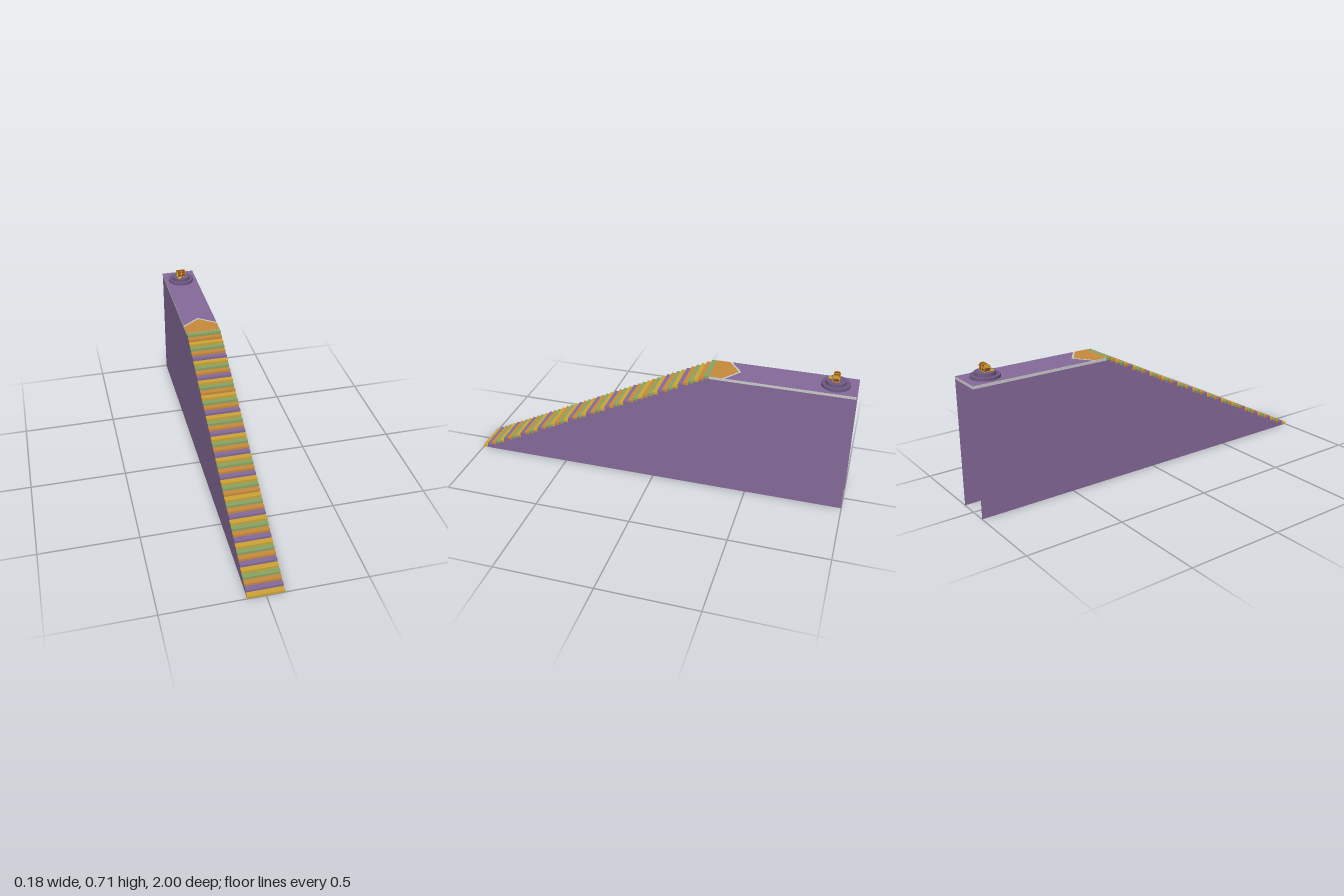
import * as THREE from 'three';

const YELLOW = 0xd0a536, PURPLE = 0x866a9a, ORANGE = 0xc98b3c, GREEN = 0x8aa463;
const GREY = 0xcccccc, BROWN = 0x8a4a22, GOLD = 0xd9a72c;

const STEPS = 49, TOP = 0.65, HALF_W = 0.09;
const RISE = TOP / STEPS, RUN = 0.0263;
const LANDING_FRONT = 1 - STEPS * RUN;

const mat = (color, side = THREE.FrontSide) =>
  new THREE.MeshStandardMaterial({ color, side, flatShading: true });

function add(parent, name, geometry, material, x = 0, y = 0, z = 0) {
  const mesh = new THREE.Mesh(geometry, material);
  mesh.name = name;
  mesh.position.set(x, y, z);
  parent.add(mesh);
  return mesh;
}

const box = (w, h, d) => new THREE.BoxGeometry(w, h, d);
const outline = (pts) => new THREE.ShapeGeometry(new THREE.Shape(pts.map(([a, b]) => new THREE.Vector2(a, b))));

// Staircase of coloured boards; the purple board drops out now and then
function buildStairs() {
  const stairs = new THREE.Group();
  stairs.name = 'stairs';
  const cycle = [YELLOW, PURPLE, ORANGE, GREEN].map((c) => mat(c));
  const skipped = [17, 36, 47];
  const geometry = box(HALF_W * 2, RISE, RUN);
  let c = 0;
  for (let i = 0; i < STEPS; i++) {
    if (skipped.includes(i)) c++;
    add(stairs, 'step', geometry, cycle[c++ % 4], 0, (i + 0.5) * RISE, 1 - (i + 0.5) * RUN);
  }
  return stairs;
}

// Thin side walls, open at the back and underneath
function buildWalls() {
  const walls = new THREE.Group();
  walls.name = 'sideWalls';
  const top = TOP - RISE;
  const geometry = outline([[-1, 0], [1 - RUN, 0], [1 - RUN, RISE], [1 - (STEPS - 1) * RUN, top], [-1, top]]);
  geometry.rotateY(-Math.PI / 2); // shape x becomes z
  for (const s of [1, -1]) add(walls, 'sideWall', geometry, mat(PURPLE, THREE.DoubleSide), s * (HALF_W - 0.001));
  return walls;
}

// Landing slab with a pointed orange mat and a purple floor around it
function buildLanding() {
  const landing = new THREE.Group();
  landing.name = 'landing';
  const length = LANDING_FRONT + 1;
  add(landing, 'slab', box(HALF_W * 2, RISE, length), mat(GREY), 0, TOP - RISE / 2, LANDING_FRONT - length / 2);

  const w = HALF_W, f = LANDING_FRONT;
  // outlines are drawn as (x, -z) and laid flat
  const arrow = outline([[-w, -f], [w, -f], [w, 0.355], [0, 0.42], [-w, 0.355]]).rotateX(-Math.PI / 2);
  add(landing, 'arrowMat', arrow, mat(ORANGE), 0, TOP + 0.0008);
  const floor = outline([[-w, 0.367], [0, 0.432], [w, 0.367], [w, 1], [-w, 1]]).rotateX(-Math.PI / 2);
  add(landing, 'floor', floor, mat(PURPLE), 0, TOP + 0.0008);

  const under = new THREE.PlaneGeometry(w * 2 - 0.002, length).rotateX(Math.PI / 2);
  add(landing, 'underside', under, mat(PURPLE), 0, TOP - RISE - 0.0008, f - length / 2);
  return landing;
}

// Treasure chest with a faceted lid and gold trim, base at y = 0
function buildChest() {
  const chest = new THREE.Group();
  chest.name = 'chest';
  const W = 0.046, D = 0.03, H = 0.02;
  const gold = mat(GOLD), brown = mat(BROWN);
  add(chest, 'chestBody', box(W, H, D), brown, 0, H / 2);

  const lidShape = (grow) => {
    const d = D / 2 + grow;
    return new THREE.Shape([[-d, 0], [d, 0], [d, 0.007 + grow], [d * 0.55, 0.0145 + grow], [-d * 0.55, 0.0145 + grow], [-d, 0.007 + grow]]
      .map(([a, b]) => new THREE.Vector2(a, b)));
  };
  const lidPart = (grow, width) => new THREE.ExtrudeGeometry(lidShape(grow), { depth: width, bevelEnabled: false })
    .translate(0, 0, -width / 2).rotateY(Math.PI / 2);
  add(chest, 'lid', lidPart(0, W), brown, 0, H);

  // Gold bands over the lid and posts down the body
  for (const x of [-0.023, 0, 0.023]) {
    add(chest, 'lidBand', lidPart(0.0015, 0.004), gold, x, H);
    for (const z of [-D / 2, D / 2]) add(chest, 'post', box(0.004, H, 0.003), gold, x, H / 2, z);
  }
  for (const y of [0.0015, H]) add(chest, 'rim', box(W + 0.003, 0.003, D + 0.003), gold, 0, y);
  add(chest, 'latch', box(0.007, 0.009, 0.004), gold, 0, H - 0.001, D / 2 + 0.002);
  return chest;
}

export function createModel() {
  const model = new THREE.Group();
  model.name = 'stairway';
  model.add(buildStairs(), buildWalls(), buildLanding());

  // Round two-tier pedestal carrying the chest
  const pedestal = new THREE.Group();
  pedestal.name = 'pedestal';
  pedestal.position.set(0, TOP, -0.893);
  const stone = new THREE.MeshStandardMaterial({ color: 0x705a84 });
  add(pedestal, 'lowerTier', new THREE.CylinderGeometry(0.07, 0.07, 0.014, 40), stone, 0, 0.007);
  add(pedestal, 'upperTier', new THREE.CylinderGeometry(0.05, 0.05, 0.015, 40), stone, 0, 0.0215);
  const chest = buildChest();
  chest.position.y = 0.029;
  pedestal.add(chest);
  add(pedestal, 'coin', new THREE.CylinderGeometry(0.01, 0.01, 0.004, 16), mat(GOLD), -0.013, 0.031, 0.03);
  model.add(pedestal);
  return model;
}
